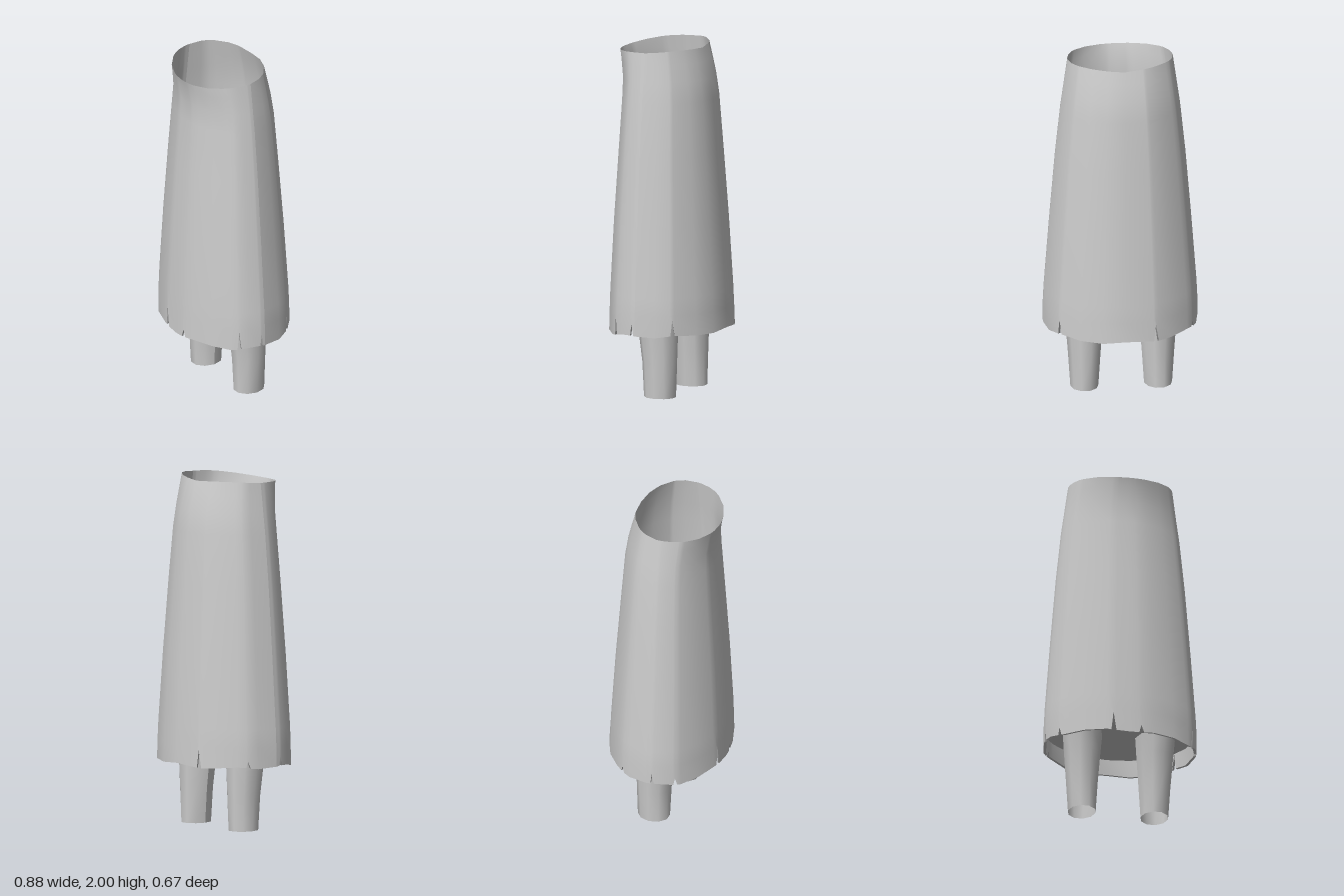
import * as THREE from 'three';

const cloth = new THREE.MeshStandardMaterial({ color: 0xcccccc, side: THREE.DoubleSide });
cloth.name = 'plain grey';

const FLOOR_Y = 0.48;
const MID_Z = 0.035; // widest line of the skirt

// Skirt levels: [height, half width, front z, back z]
const LEVELS = [
  [1.99, 0.3, 0.295, -0.187],
  [1.92, 0.31, 0.283, -0.208],
  [1.82, 0.324, 0.267, -0.232],
  [1.7, 0.341, 0.268, -0.25],
  [1.4, 0.372, 0.285, -0.272],
  [1.0, 0.405, 0.31, -0.302],
  [0.6, 0.435, 0.328, -0.326],
  [0.5, 0.44, 0.331, -0.33],
];
const HEM = [0.38, 0.44, 0.335, -0.335];

// Tears in the hem: [angle in degrees from +x towards +z, height of the tip]
const TEARS = [[4, 0.45], [28, 0.48], [82, 0.41], [103, 0.48], [150, 0.42],
  [174, 0.45], [207, 0.42], [248, 0.48], [327, 0.475]];

// Smooth surface through rows of points
function loft(rows) {
  const n = rows[0].length;
  const index = [];
  for (let r = 0; r < rows.length - 1; r++) {
    for (let c = 0; c < n - 1; c++) {
      const a = r * n + c, b = a + n;
      index.push(a, a + 1, b, a + 1, b + 1, b);
    }
  }
  const g = new THREE.BufferGeometry();
  g.setAttribute('position', new THREE.Float32BufferAttribute(rows.flat(2), 3));
  g.setIndex(index);
  g.computeVertexNormals();
  return g;
}

// Point on the oval of a level
function ovalPoint(level, deg, y, scale = 1) {
  const t = THREE.MathUtils.degToRad(deg);
  const s = Math.sin(t);
  const depth = s > 0 ? level[2] - MID_Z : MID_Z - level[3];
  return [level[1] * Math.cos(t) * scale, y, MID_Z + depth * s * scale];
}

// Columns of one half, with three extra ones at each tear
function columns(from, to) {
  const tears = TEARS.filter(([a]) => a > from && a < to);
  const list = [];
  for (let a = from; a <= to; a += 18) {
    const end = a === from || a === to;
    if (end || tears.every(([t]) => Math.abs(t - a) > 4)) list.push([a, null]);
  }
  for (const [a, tip] of tears) list.push([a - 2.2, null], [a, tip], [a + 1.6, null]);
  return list.sort((p, q) => p[0] - q[0]);
}

const rimHeight = (deg) => {
  const s = Math.sin(THREE.MathUtils.degToRad(deg));
  return s > 0 ? 1.99 - 0.026 * s * s : 1.99 + 0.01 * Math.abs(Math.sin(THREE.MathUtils.degToRad(2 * deg)));
};

const hemHeight = ([deg, tip]) => {
  if (tip) return tip;
  const t = THREE.MathUtils.degToRad(deg);
  return 0.382 - 0.014 * Math.max(0, Math.sin(t)) + 0.007 * Math.sin(7 * t);
};

function add(group, name, geometry) {
  const mesh = new THREE.Mesh(geometry, cloth);
  mesh.name = name;
  group.add(mesh);
  return mesh;
}

export function createModel() {
  const model = new THREE.Group();
  model.name = 'raggedSkirtWithLegs';

  // Front and back halves meet in a crease at the sides
  for (const [side, from, to] of [['Front', 0, 180], ['Back', 180, 360]]) {
    const cols = columns(from, to);
    const hem = (scale) => cols.map((c) => ovalPoint(HEM, c[0], hemHeight(c), scale));
    const rows = LEVELS.map((l, i) =>
      cols.map(([a]) => ovalPoint(l, a, i === 0 ? rimHeight(a) : l[0])));
    add(model, 'skirt' + side, loft([...rows, hem(1)]));

    // Thickness of the hem and its lining up to the floor
    add(model, 'hemEdge' + side, loft([hem(1), hem(0.965)]));
    const top = cols.map(([a]) => ovalPoint(LEVELS[7], a, 0.5, 0.965));
    add(model, 'hemLining' + side, loft([hem(0.965), top]));
  }

  // Floor closing the skirt just above the hem
  const outline = new THREE.Shape();
  for (let a = 0; a < 360; a += 18) {
    const [x, , z] = ovalPoint(LEVELS[7], a, 0, 0.985);
    if (a === 0) outline.moveTo(x, -z);
    else outline.lineTo(x, -z);
  }
  const floor = add(model, 'skirtFloor', new THREE.ShapeGeometry(outline));
  floor.rotation.x = -Math.PI / 2;
  floor.position.y = FLOOR_Y;

  // Open tapered legs: [height, half width, half depth, centre z]
  const legLevels = [
    [FLOOR_Y + 0.005, 0.115, 0.125, 0.003],
    [0.37, 0.106, 0.113, -0.007],
    [0.2, 0.093, 0.1, -0.015],
    [0, 0.08, 0.093, -0.017],
  ];
  for (const [name, s] of [['leftLeg', 1], ['rightLeg', -1]]) {
    const rows = legLevels.map(([y, w, d, z]) => Array.from({ length: 11 }, (_, i) => {
      const t = (i / 10) * Math.PI * 2 * s;
      return [s * (0.21 - w * Math.cos(t * s)), y, z + d * Math.sin(t * s)];
    }));
    add(model, name, loft(rows));
  }
  return model;
}
